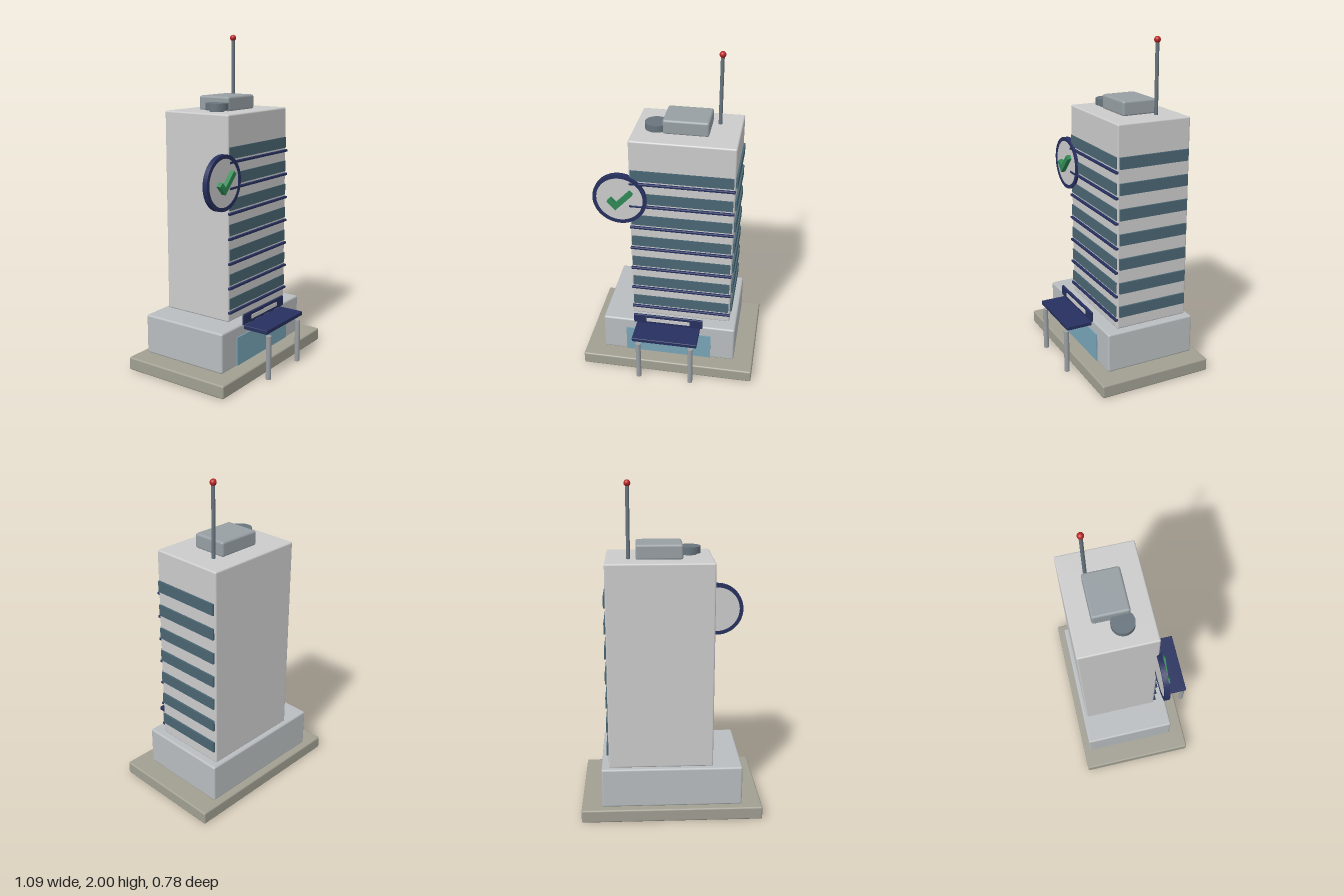
import * as THREE from 'three';
import { RoundedBoxGeometry } from 'three/addons/geometries/RoundedBoxGeometry.js';

const material = (color) => new THREE.MeshStandardMaterial({ color });
const stone = material(0xa19f92);
const concrete = material(0xb9bdbf);
const wall = material(0xcccccc);
const navy = material(0x27305f);
const glass = material(0x4a6673);
const doorGlass = material(0x78a5b8);
const metal = material(0x9a9fa2);
const roofGrey = material(0x979fa4);
const darkGrey = material(0x68747d);
const green = material(0x2f8a55);
const red = material(0xb82424);

export function createModel() {
  const model = new THREE.Group();
  model.name = 'officeTower';

  const add = (name, geometry, mat, parent = model) => {
    const mesh = new THREE.Mesh(geometry, mat);
    mesh.name = name;
    parent.add(mesh);
    return mesh;
  };

  // Block given by its extents on each axis; r > 0 rounds the edges
  const block = (name, [x0, x1], [y0, y1], [z0, z1], mat, r = 0, parent = model) => {
    const size = [x1 - x0, y1 - y0, z1 - z0];
    const geometry = r ? new RoundedBoxGeometry(...size, 2, r) : new THREE.BoxGeometry(...size);
    const mesh = add(name, geometry, mat, parent);
    mesh.position.set((x0 + x1) / 2, (y0 + y1) / 2, (z0 + z1) / 2);
    return mesh;
  };

  const cylinder = (name, r, x, z, y0, y1, mat, sides = 24) => {
    const mesh = add(name, new THREE.CylinderGeometry(r, r, y1 - y0, sides), mat);
    mesh.position.set(x, (y0 + y1) / 2, z);
    return mesh;
  };

  // Stacked main volumes
  block('groundSlab', [-0.543, 0.543], [0.005, 0.085], [-0.39, 0.317], stone, 0.01);
  block('podium', [-0.422, 0.42], [0.085, 0.33], [-0.348, 0.221], concrete, 0.012);
  block('tower', [-0.246, 0.376], [0.33, 1.56], [-0.322, 0.141], wall, 0.01);

  // Window bands on the front and left side, with a ledge below each front band
  const floors = new THREE.Group();
  floors.name = 'floors';
  model.add(floors);
  for (let i = 0; i < 7; i++) {
    const y = 0.441 + i * 0.15;
    const band = [y - 0.034, y + 0.034];
    block('frontWindowBand', [-0.237, 0.367], band, [0.13, 0.147], glass, 0, floors);
    block('sideWindowBand', [0.365, 0.387], band, [-0.31, 0.13], glass, 0, floors);
    block('ledge', [-0.246, 0.377], [y - 0.06, y - 0.045], [0.135, 0.155], navy, 0.004, floors);
  }

  // Entrance: glazing, canopy on two posts, and the board over it
  block('entranceGlass', [-0.275, 0.27], [0.09, 0.265], [0.21, 0.228], doorGlass);
  block('canopy', [-0.205, 0.2], [0.295, 0.32], [0.222, 0.385], navy, 0.004);
  block('canopyBoard', [-0.221, 0.216], [0.326, 0.39], [0.222, 0.235], navy, 0.004);
  block('boardPanel', [-0.14, 0.135], [0.345, 0.37], [0.23, 0.239], wall);
  for (const side of [-1, 1]) {
    cylinder('canopyPost', 0.016, side * 0.165 - 0.0025, 0.375, 0.005, 0.275, metal, 16);
  }

  // Round sign with a raised rim and a check mark
  const sign = new THREE.Group();
  sign.name = 'roundSign';
  sign.position.set(-0.303, 1.18, 0.14);
  model.add(sign);
  const disc = add('signDisc', new THREE.CylinderGeometry(0.15, 0.15, 0.024, 48), wall, sign);
  disc.rotation.x = Math.PI / 2;
  const rimShape = new THREE.Shape().absarc(0, 0, 0.163, 0, Math.PI * 2);
  rimShape.holes.push(new THREE.Path().absarc(0, 0, 0.14, 0, Math.PI * 2, true));
  const rim = add('signRim', new THREE.ExtrudeGeometry(rimShape, {
    depth: 0.03, bevelEnabled: false, curveSegments: 48,
  }), navy, sign);
  rim.position.z = -0.015;
  const checkShape = new THREE.Shape([
    [-0.072, -0.008], [-0.021, -0.062], [0.083, 0.046],
    [0.061, 0.067], [-0.02, -0.018], [-0.05, 0.014],
  ].map(([x, y]) => new THREE.Vector2(x, y)));
  const check = add('checkMark', new THREE.ExtrudeGeometry(checkShape, {
    depth: 0.03, bevelEnabled: false,
  }), green, sign);
  check.position.z = 0.01;

  // Roof equipment and mast
  block('roofUnit', [-0.07, 0.201], [1.555, 1.645], [-0.201, 0.016], roofGrey, 0.014);
  cylinder('roofVent', 0.068, -0.111, -0.038, 1.57, 1.61, darkGrey, 32);
  cylinder('ventNeck', 0.045, -0.111, -0.038, 1.55, 1.575, darkGrey, 24);
  cylinder('mast', 0.011, 0.243, -0.173, 1.55, 1.98, darkGrey, 12);
  add('mastLight', new THREE.SphereGeometry(0.019, 20, 14), red).position.set(0.243, 1.983, -0.173);

  return model;
}
